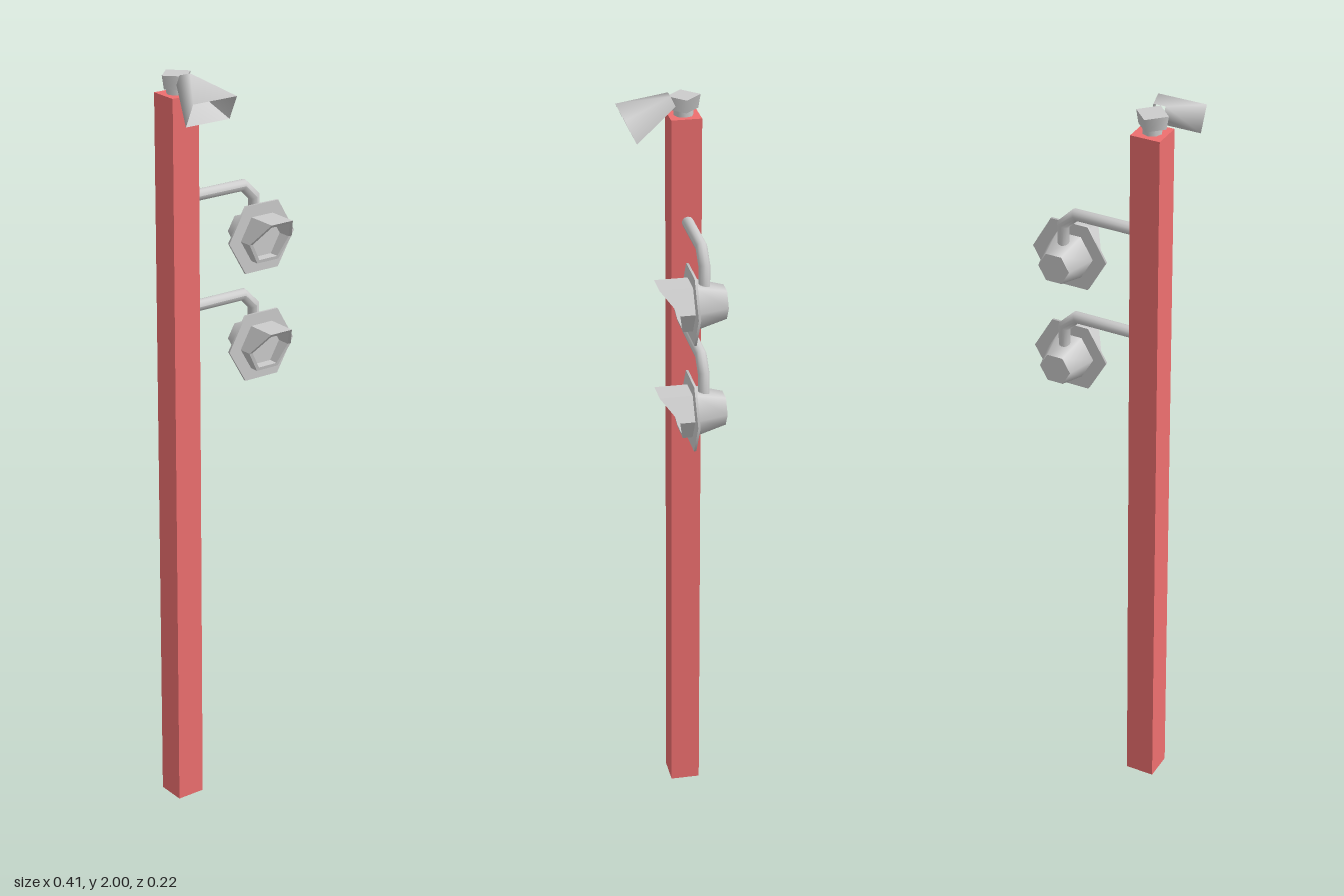
import * as THREE from 'three';

const grey = new THREE.MeshStandardMaterial({ color: 0xcccccc });
const greyOpen = new THREE.MeshStandardMaterial({ color: 0xcccccc, side: THREE.DoubleSide });
const red = new THREE.MeshStandardMaterial({ color: 0xee6f6f });

const POST_X = -0.14, POST_Z = -0.054;

function part(parent, name, geometry, material, x = 0, y = 0, z = 0) {
  const mesh = new THREE.Mesh(geometry, material);
  mesh.name = name;
  mesh.position.set(x, y, z);
  parent.add(mesh);
  return mesh;
}

// Move every vertex of a geometry by a rule
function warp(geometry, rule) {
  const p = geometry.attributes.position, v = new THREE.Vector3();
  for (let i = 0; i < p.count; i++) {
    rule(v.fromBufferAttribute(p, i));
    p.setXYZ(i, v.x, v.y, v.z);
  }
  geometry.computeVertexNormals();
  return geometry;
}

// Six-sided cylinder lying along z, with corners on the x axis
function hexCylinder(rFront, rBack, depth) {
  return new THREE.CylinderGeometry(rFront, rBack, depth, 6, 1, false, Math.PI / 2).rotateX(Math.PI / 2);
}

function hexPoints(r) {
  return Array.from({ length: 6 }, (_, i) =>
    new THREE.Vector2(r * Math.cos(i * Math.PI / 3), r * Math.sin(i * Math.PI / 3)));
}

// Hexagonal hood, long at the top and cut back at the sides and bottom
function visorGeometry() {
  const shape = new THREE.Shape(hexPoints(0.067));
  shape.holes.push(new THREE.Path(hexPoints(0.057).reverse()));
  const geometry = new THREE.ExtrudeGeometry(shape, { depth: 1, bevelEnabled: false });
  return warp(geometry, v => {
    const t = v.y / 0.058;
    v.z = v.z < 0.5 ? 0 : 0.037 + (t > 0 ? 0.047 : 0.012) * t;
  });
}

// Mitred pipe: out from the post, 45 degrees down, then straight down into the lamp
function armGeometry() {
  const path = [[-0.21, 0.135], [-0.035, 0.135], [0, 0.1], [0, 0.03]];
  const tilt = [0, -Math.PI / 8, -3 * Math.PI / 8, -Math.PI / 2];
  return warp(new THREE.CylinderGeometry(0.015, 0.015, 1, 12, 3, true), v => {
    const i = Math.round((0.5 - v.y) * 3);
    const a = v.x / (i % 3 ? Math.cos(Math.PI / 8) : 1);
    v.x = path[i][0] - Math.sin(tilt[i]) * a;
    v.y = path[i][1] + Math.cos(tilt[i]) * a;
  });
}

function createLamp(y) {
  const lamp = new THREE.Group();
  lamp.name = 'signalLamp';
  lamp.position.set(0.1, y, 0);
  part(lamp, 'lampHousing', hexCylinder(0.067, 0.043, 0.086), grey, 0, 0, -0.067);
  part(lamp, 'backingPlate', hexCylinder(0.103, 0.103, 0.006), grey, 0, 0, -0.025);
  part(lamp, 'visor', visorGeometry(), grey, 0, 0, -0.022);
  part(lamp, 'supportArm', armGeometry(), greyOpen, 0, 0, -0.057);
  return lamp;
}

// Square horn flaring from a small throat to a wide mouth, tilted downwards
function hornGeometry() {
  const r = Math.SQRT1_2;
  const geometry = new THREE.CylinderGeometry(r, r, 1, 4, 1, true, Math.PI / 4);
  return warp(geometry, v => {
    const mouth = v.y > 0;
    v.x *= mouth ? 0.13 : 0.032;
    v.z *= mouth ? 0.07 : 0.03;
    v.y = mouth ? 0 : -0.128;
  }).rotateX(Math.PI / 2 + 0.45);
}

export function createModel() {
  const model = new THREE.Group();
  model.name = 'signalPost';

  part(model, 'post', new THREE.BoxGeometry(0.078, 1.95, 0.078), red, POST_X, 0.975, POST_Z);

  // Horn and its mount on top of the post
  const horn = new THREE.Group();
  horn.name = 'hornSpeaker';
  part(horn, 'neck', new THREE.CylinderGeometry(0.025, 0.025, 0.02, 8), grey, POST_X, 1.957, POST_Z);
  part(horn, 'mount', new THREE.CylinderGeometry(0.043, 0.037, 0.035, 4), grey, POST_X, 1.9825, POST_Z);
  part(horn, 'horn', hornGeometry(), greyOpen, POST_X, 1.935, 0.091);
  model.add(horn);

  // Two identical lamps, one above the other
  for (const y of [1.544, 1.252]) model.add(createLamp(y));

  return model;
}
